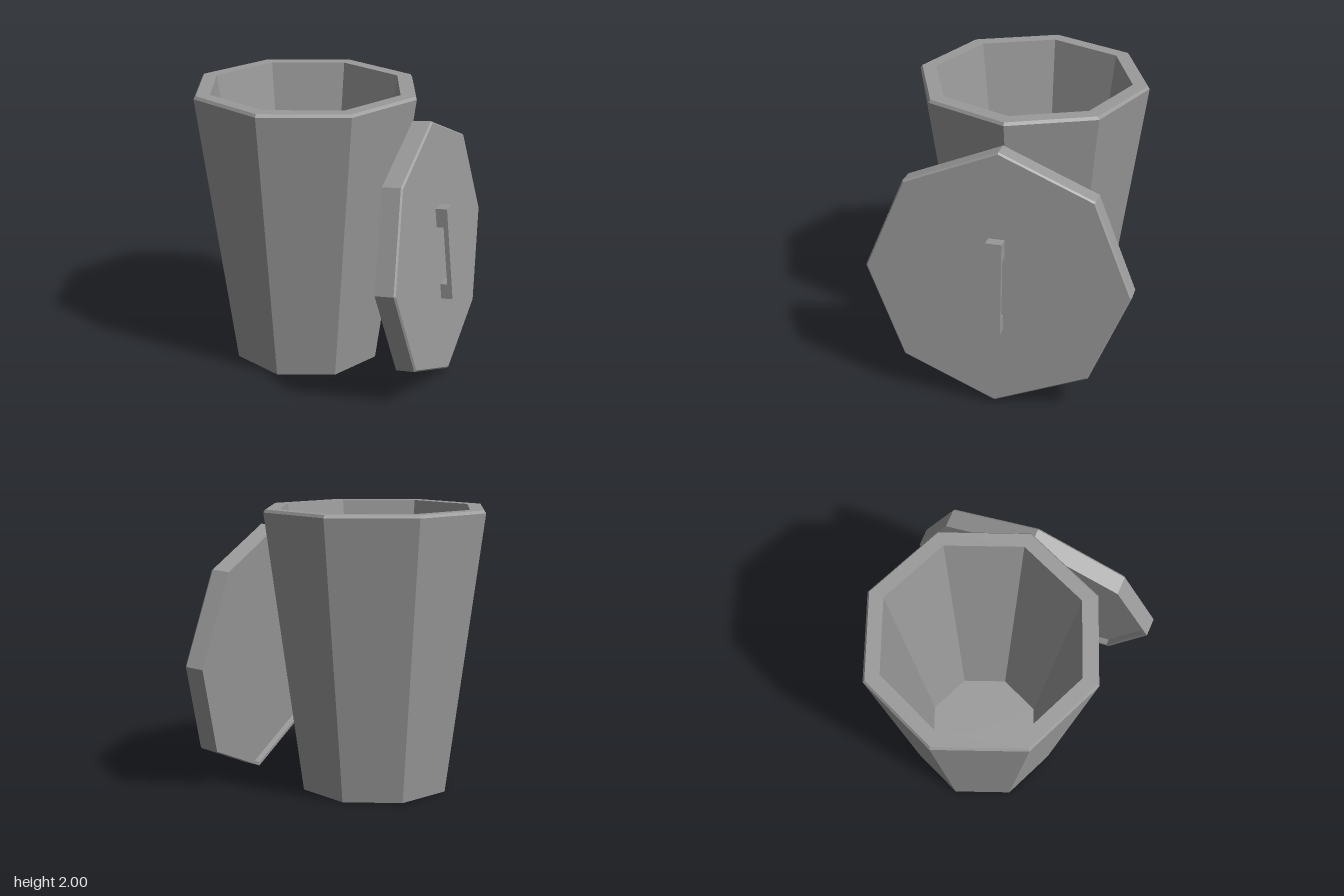
import * as THREE from 'three';

const material = new THREE.MeshStandardMaterial({ color: 0x9a9a9a, flatShading: true });

// Eight-sided solid turned from a closed profile of [radius, height] points
function octagonal(name, profile) {
  const points = profile.map(([r, y]) => new THREE.Vector2(r, y));
  const mesh = new THREE.Mesh(new THREE.LatheGeometry(points, 8), material);
  mesh.name = name;
  return mesh;
}

export function createModel() {
  const model = new THREE.Group();
  model.name = 'binWithLid';

  // Tapered hollow bin with a thick wall and a small chamfer on its rim
  const bin = octagonal('bin', [
    [0, 0], [0.542, 0], [0.817, 1.98], [0.803, 2], [0.7, 2], [0.42, 0.06], [0, 0.06],
  ]);
  bin.position.set(-0.163, 0, -0.008);
  model.add(bin);

  // Lid leaning against the bin: local +y is its outer face, local -x points up
  const lid = new THREE.Group();
  lid.name = 'lid';
  lid.position.set(0.789, 0.927, 0);
  lid.rotation.z = -Math.PI / 2 + 0.095;
  // Plate with a chamfered outer edge and a narrow lip around its inner side
  lid.add(octagonal('lidPlate', [
    [0, -0.026], [0.89, -0.026], [0.89, -0.071], [0.916, -0.071],
    [0.916, 0.059], [0.904, 0.071], [0, 0.071],
  ]));

  // Bridge-shaped handle on the outer face
  const outline = [
    [-0.31, 0.06], [-0.177, 0.06], [-0.177, 0.121], [0.245, 0.121],
    [0.245, 0.06], [0.353, 0.06], [0.353, 0.154], [-0.31, 0.154],
  ];
  const shape = new THREE.Shape(outline.map(([x, y]) => new THREE.Vector2(x, y)));
  const handleGeometry = new THREE.ExtrudeGeometry(shape, { depth: 0.11, bevelEnabled: false });
  handleGeometry.translate(0, 0, -0.055);
  const handle = new THREE.Mesh(handleGeometry, material);
  handle.name = 'lidHandle';
  lid.add(handle);
  model.add(lid);

  return model;
}
